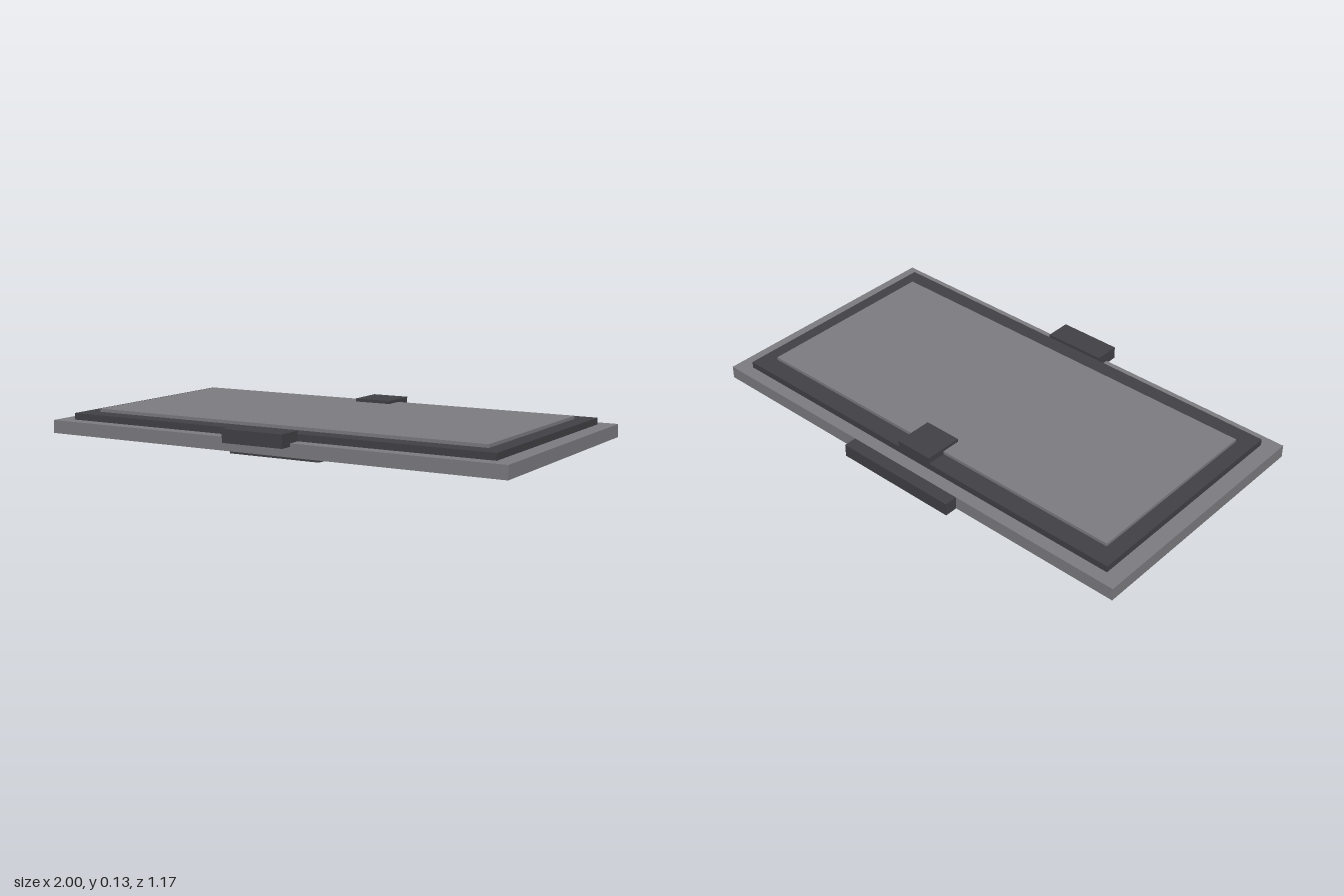
import * as THREE from 'three';

const gray = new THREE.MeshStandardMaterial({ color: 0x7e7d82 });
gray.name = 'mid gray';
const dark = new THREE.MeshStandardMaterial({ color: 0x424146 });
dark.name = 'charcoal';
const green = new THREE.MeshStandardMaterial({ color: 0x4d7f5b });
green.name = 'board green';

// Box given by its half width and its y and z ranges, centred on x
function slab(name, material, halfX, [y0, y1], [z0, z1]) {
  const mesh = new THREE.Mesh(new THREE.BoxGeometry(2 * halfX, y1 - y0, z1 - z0), material);
  mesh.name = name;
  mesh.position.set(0, (y0 + y1) / 2, (z0 + z1) / 2);
  return mesh;
}

export function createModel() {
  const model = new THREE.Group();
  model.name = 'displayPanel';
  model.add(
    // Stacked layers, from the bottom up
    slab('circuitBoard', green, 0.667, [0, 0.027], [-0.4, 0.4]),
    slab('basePlate', gray, 1, [0.027, 0.08], [-0.533, 0.533]),
    slab('bezel', dark, 0.933, [0.08, 0.107], [-0.48, 0.48]),
    slab('screen', gray, 0.867, [0.107, 0.12], [-0.4, 0.4]),
    // Connectors and clips along the front and back edges
    slab('boardConnector', dark, 0.2, [0, 0.027], [0.4, 0.44]),
    slab('frontClip', dark, 0.133, [0.067, 0.12], [0.48, 0.587]),
    slab('backConnector', dark, 0.267, [0.027, 0.08], [-0.587, -0.533]),
    slab('topTab', dark, 0.08, [0.107, 0.133], [-0.48, -0.32]),
  );
  return model;
}
